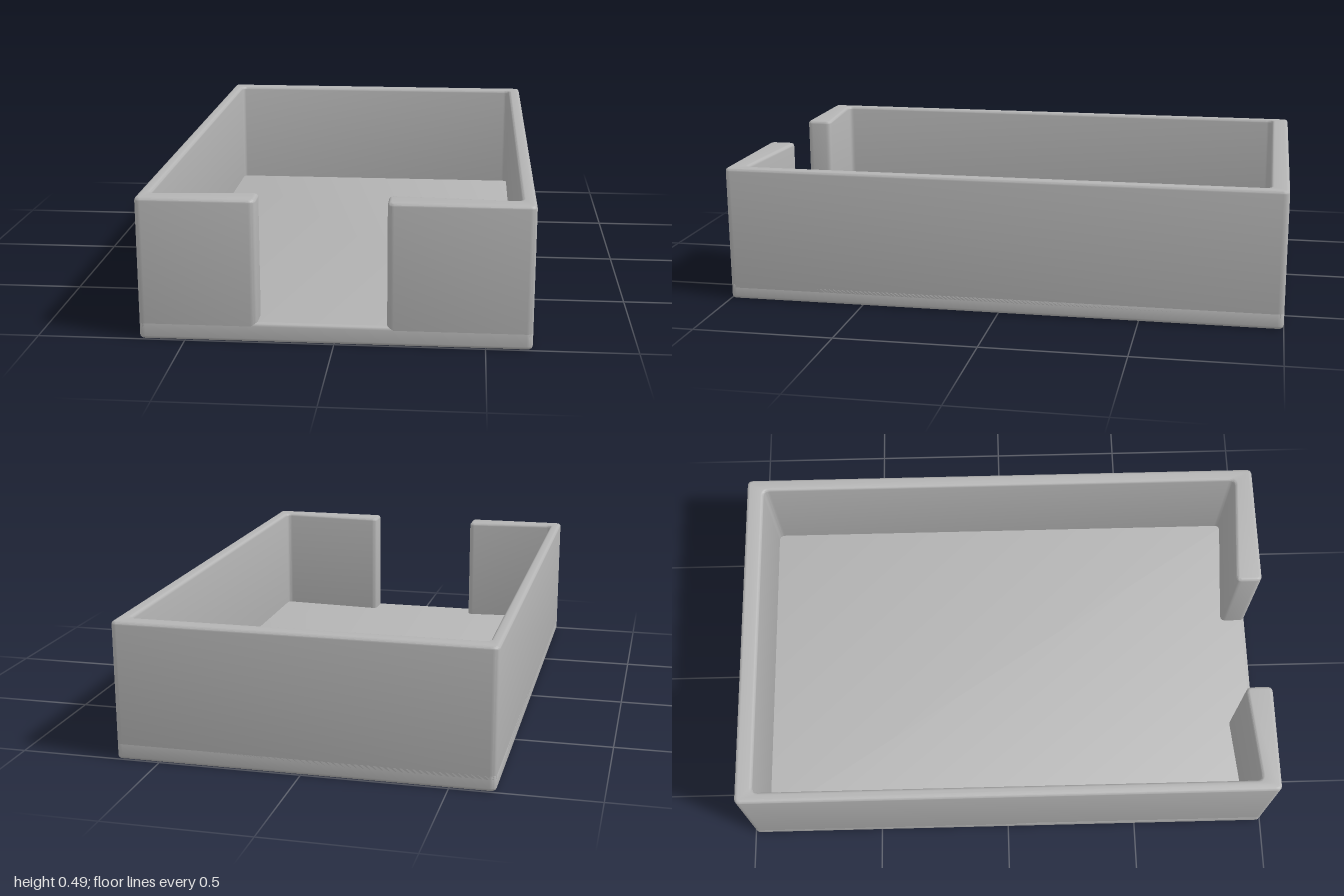
import * as THREE from 'three';
import { toCreasedNormals } from 'three/addons/utils/BufferGeometryUtils.js';

const BEVEL = 0.012;

// Closed outline through [x, z] corners, each rounded by r
function roundedOutline(corners, r) {
  const pts = corners.map(([x, z]) => new THREE.Vector2(x, -z));
  const shape = new THREE.Shape();
  pts.forEach((p, i) => {
    const prev = pts[(i + pts.length - 1) % pts.length];
    const next = pts[(i + 1) % pts.length];
    const a = prev.clone().sub(p).setLength(r).add(p);
    const b = next.clone().sub(p).setLength(r).add(p);
    if (i === 0) shape.moveTo(a.x, a.y);
    else shape.lineTo(a.x, a.y);
    shape.quadraticCurveTo(p.x, p.y, b.x, b.y);
  });
  shape.closePath();
  return shape;
}

// Upright solid from y0 to y1 with softened rims
function softSlab(name, corners, y0, y1, material) {
  const geometry = new THREE.ExtrudeGeometry(roundedOutline(corners, 0.022), {
    depth: y1 - y0 - 2 * BEVEL,
    bevelThickness: BEVEL,
    bevelSize: BEVEL,
    bevelOffset: -BEVEL,
    bevelSegments: 4,
    curveSegments: 5,
  });
  geometry.rotateX(-Math.PI / 2);
  geometry.translate(0, y0 + BEVEL, 0);
  const mesh = new THREE.Mesh(toCreasedNormals(geometry, 0.6), material);
  mesh.name = name;
  return mesh;
}

export function createModel() {
  const group = new THREE.Group();
  group.name = 'openTray';
  const grey = new THREE.MeshStandardMaterial({ color: 0xb4b4b4 });
  grey.name = 'plainGrey';

  const W = 0.655; // half width
  // Floor plate, also forming the sill of the front opening
  group.add(softSlab('floor', [[-W, 1], [W, 1], [W, -1], [-W, -1]], 0, 0.067, grey));

  // Continuous wall with an off-centre front opening; front lips thicken inwards
  group.add(softSlab('wall', [
    [-0.255, 1], [-W, 1], [-W, -1], [W, -1], [W, 1], [0.175, 1],
    [0.175, 0.9], [0.607, 0.93], [0.607, -0.935],
    [-0.614, -0.935], [-0.614, 0.93], [-0.255, 0.9],
  ], 0.03, 0.49, grey));

  return group;
}
